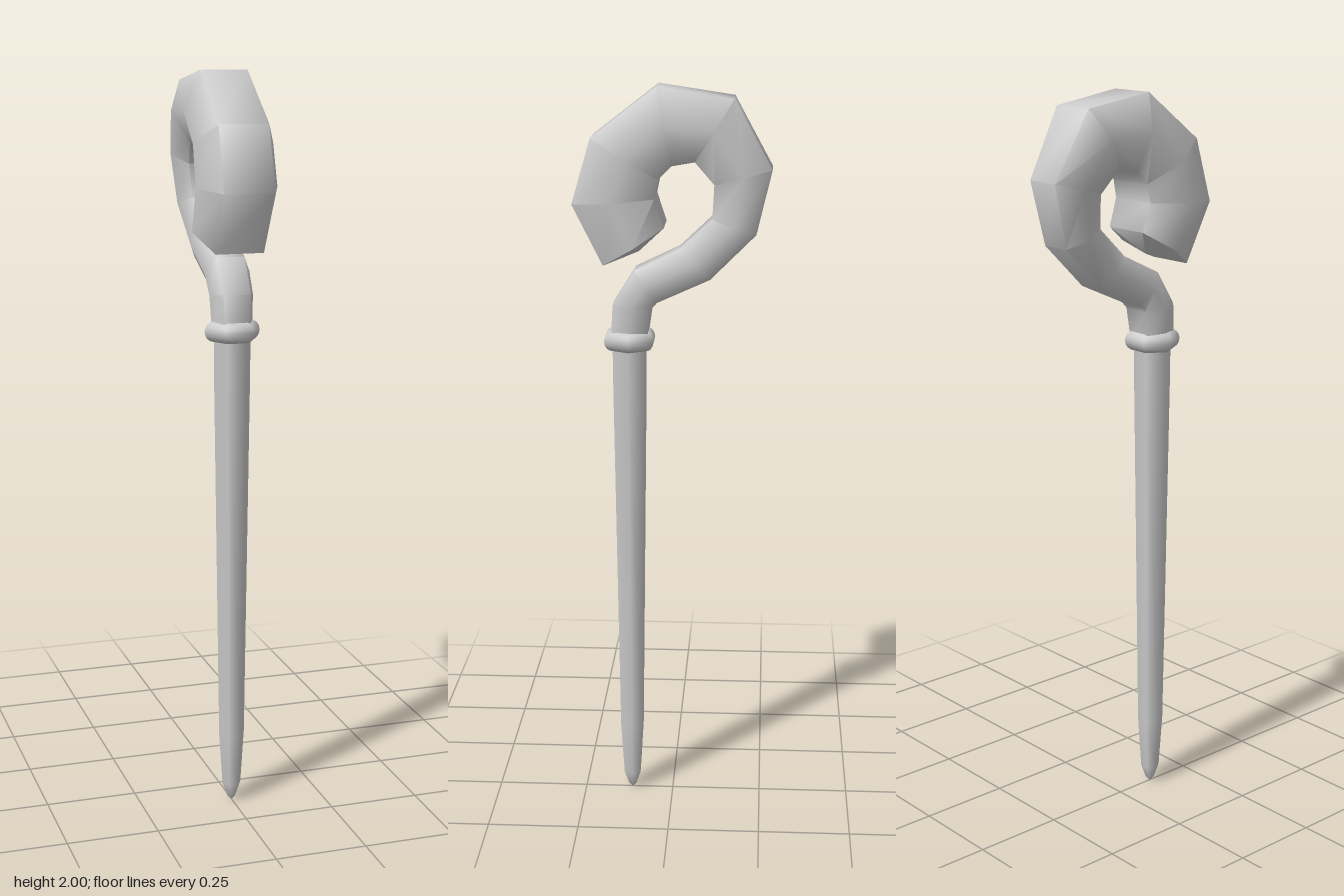
import * as THREE from 'three';
import { toCreasedNormals } from 'three/addons/utils/BufferGeometryUtils.js';

const SIDES = 6;
const AXIS_Z = 0.116;

// Six-sided turned part with corners on the x axis, centred on the shaft line
function turned(name, profile, material) {
  const points = profile.map(([r, y]) => new THREE.Vector2(r, y));
  const mesh = new THREE.Mesh(new THREE.LatheGeometry(points, SIDES, Math.PI / 2), material);
  mesh.name = name;
  mesh.position.z = AXIS_Z;
  return mesh;
}

// Six-sided loft; each section is [outer z, outer y, inner z, inner y, half width]
function crookGeometry(sections, tip) {
  const positions = [];
  const index = [];
  for (const [zo, yo, zi, yi, w] of sections) {
    const flat = w * 0.62;
    const ym = (yo + yi) / 2;
    const zm = (zo + zi) / 2;
    positions.push(flat, yo, zo, w, ym, zm, flat, yi, zi);
    positions.push(-flat, yi, zi, -w, ym, zm, -flat, yo, zo);
  }
  for (let i = 0; i < sections.length - 1; i++) {
    for (let k = 0; k < SIDES; k++) {
      const a = i * SIDES + k;
      const b = i * SIDES + (k + 1) % SIDES;
      index.push(a, a + SIDES, b, b, a + SIDES, b + SIDES);
    }
  }
  // Shallow domed cap on the free end
  const last = (sections.length - 1) * SIDES;
  const centre = positions.length / 3;
  positions.push(...tip);
  for (let k = 0; k < SIDES; k++) index.push(centre, last + (k + 1) % SIDES, last + k);

  const geometry = new THREE.BufferGeometry();
  geometry.setAttribute('position', new THREE.Float32BufferAttribute(positions, 3));
  geometry.setIndex(index);
  return toCreasedNormals(geometry, 1.2);
}

export function createModel() {
  const group = new THREE.Group();
  group.name = 'crookedStaff';
  const material = new THREE.MeshStandardMaterial({ color: 0xcccccc });

  // Tapered shaft with a blunt pointed foot
  group.add(turned('shaft', [
    [0, 0], [0.012, 0.012], [0.026, 0.05], [0.036, 0.2], [0.05, 1.2], [0.051, 1.33],
  ], material));

  // Rounded collar under the crook
  const collar = [];
  for (let i = 0; i <= 8; i++) {
    const t = -Math.PI / 2 + (i / 8) * Math.PI;
    collar.push([0.049 + 0.027 * Math.cos(t), 1.33 + 0.028 * Math.sin(t)]);
  }
  collar.unshift([0.03, 1.302]);
  collar.push([0.03, 1.358]);
  group.add(turned('collar', collar, material));

  // Crook that thickens as it curls back over the shaft
  const sections = [
    [0.068, 1.33, 0.164, 1.33, 0.056],
    [0.055, 1.42, 0.158, 1.43, 0.06],
    [0.04, 1.437, 0.10, 1.522, 0.062],
    [-0.10, 1.50, -0.02, 1.58, 0.062],
    [-0.22, 1.62, -0.105, 1.66, 0.068],
    [-0.26, 1.79, -0.11, 1.75, 0.08],
    [-0.16, 1.97, -0.06, 1.81, 0.10],
    [0.04, 2.0, 0, 1.80, 0.105],
    [0.21, 1.87, 0.035, 1.765, 0.108],
    [0.26, 1.70, 0.045, 1.715, 0.11],
    [0.18, 1.54, 0.02, 1.64, 0.105],
  ];
  const crook = new THREE.Mesh(crookGeometry(sections, [0, 1.568, 0.09]), material);
  crook.name = 'crook';
  group.add(crook);

  return group;
}
